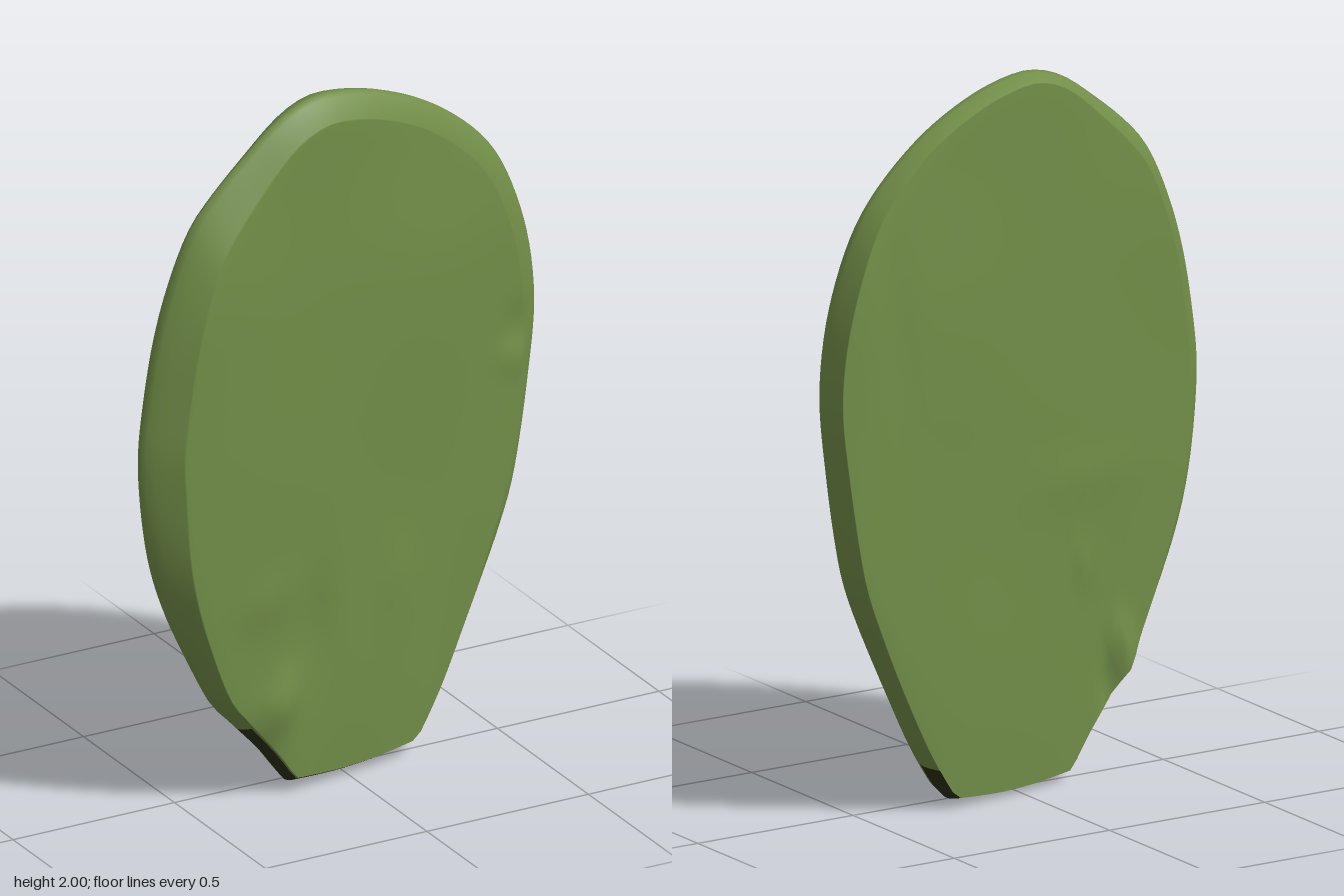
import * as THREE from 'three';

const CENTRE = new THREE.Vector2(0, 1.05);
const { smoothstep, clamp, lerp } = THREE.MathUtils;

// Outline of the pad, counter-clockwise from the right end of the cut base
const OUTLINE = [
  [0.22, 0.015], [0.25, 0.05], [0.32, 0.16], [0.40, 0.31], [0.48, 0.47], [0.56, 0.65], [0.60, 0.80],
  [0.635, 1.0], [0.657, 1.2], [0.64, 1.38], [0.59, 1.55], [0.52, 1.69], [0.42, 1.8], [0.28, 1.9],
  [0.12, 1.97], [-0.02, 2.0], [-0.11, 1.995], [-0.2, 1.96], [-0.3, 1.89], [-0.41, 1.8], [-0.49, 1.71],
  [-0.56, 1.56], [-0.61, 1.4], [-0.645, 1.22], [-0.66, 1.08], [-0.65, 0.92], [-0.62, 0.75],
  [-0.57, 0.6], [-0.5, 0.45], [-0.42, 0.3], [-0.35, 0.22], [-0.25, 0.11], [-0.18, 0.015],
];

// Lumps and dents: x, y, radius x, radius y, height
const FRONT_BUMPS = [
  [-0.24, 0.28, 0.05, 0.07, 0.034], [0.57, 1.17, 0.04, 0.06, -0.012], [0.56, 1.08, 0.04, 0.04, 0.01],
  [-0.12, 0.45, 0.06, 0.14, -0.012], [0.16, 0.55, 0.07, 0.1, 0.008], [-0.28, 0.6, 0.09, 0.07, 0.008],
];
const BACK_BUMPS = [
  [-0.37, 0.32, 0.035, 0.07, 0.035], [-0.31, 0.27, 0.03, 0.05, -0.02], [-0.23, 0.6, 0.04, 0.03, 0.013],
  [0.54, 1.3, 0.05, 0.28, 0.005], [0.44, 1.35, 0.05, 0.25, -0.01], [-0.2, 0.85, 0.22, 0.06, 0.006],
];
const relief = (bumps, x, y) => bumps.reduce(
  (sum, [bx, by, rx, ry, h]) => sum + h * Math.exp(-(((x - bx) / rx) ** 2) - ((y - by) / ry) ** 2), 0);

// Width of the bevelled rim: wide on the front, crisp on the back and near the base
function rimWidth(x, y, isFront) {
  const left = smoothstep(-x, 0, 0.5);
  const side = isFront ? lerp(0.07, 0.105, left) : lerp(0.022, 0.05, left);
  return side * lerp(0.3, 1, smoothstep(y, 0.1, 1));
}

// Half thickness: slightly domed, thinner towards the top
function halfThickness(y, k, isFront) {
  const taper = smoothstep(y, 1.4, 2) * (isFront ? 0.32 : 0.16);
  return (0.07 + 0.009 * (1 - k * k)) * (1 - taper);
}

// Rings run from the front centre, over the rim, to the back centre
function makeRings() {
  const rings = [];
  for (let i = 0; i < 14; i++) rings.push({ k: i / 14, angle: 0, onRim: false });
  for (let i = 0; i <= 12; i++) rings.push({ k: 1, angle: (i / 12) * Math.PI, onRim: true });
  for (let i = 13; i >= 0; i--) rings.push({ k: i / 14, angle: Math.PI, onRim: false });
  return rings;
}

function padPoint(edge, isBase, { k, angle }) {
  const isFront = angle < Math.PI / 2;
  const bulge = Math.sin(angle);
  // The widest line lies forward on the right side and backward on the left
  const skew = isBase ? 0 : clamp(0.6 * edge.x, -0.38, 0.3);
  const t = Math.cos(angle) + skew * bulge * bulge;

  const inward = CENTRE.clone().sub(edge).normalize();
  const rim = isBase ? (isFront ? 0.03 : 0.015) : rimWidth(edge.x, edge.y, isFront);
  const inset = rim * Math.pow(Math.abs(Math.cos(angle)), 1.5);
  const p = edge.clone().addScaledVector(inward, inset).lerp(CENTRE, 1 - k);

  const wave = 0.002 * Math.sin(p.x * 9 + p.y * 4) + 0.002 * Math.sin(p.y * 7 - p.x * 5);
  const lump = relief(isFront ? FRONT_BUMPS : BACK_BUMPS, p.x, p.y) + wave;
  return [p.x, p.y, 0.007 - 0.16 * p.x + t * (halfThickness(p.y, k, isFront) + lump)]; // turned slightly
}

export function createModel() {
  const green = new THREE.MeshStandardMaterial({ color: 0x728e48 });
  green.name = 'cactus green';
  const dark = new THREE.MeshStandardMaterial({ color: 0x2a2f17 });
  dark.name = 'dark cut';

  // Sample the outline, then close it along the base
  const curve = new THREE.SplineCurve(OUTLINE.map(([x, y]) => new THREE.Vector2(x, y)));
  const edges = curve.getSpacedPoints(120);
  const sideCount = edges.length;
  const from = edges[sideCount - 1], to = edges[0];
  for (let i = 1; i < 12; i++) {
    const e = from.clone().lerp(to, i / 12);
    e.y -= 0.013 * Math.sin((i / 12) * Math.PI);
    edges.push(e);
  }

  const rings = makeRings();
  const positions = [];
  for (const ring of rings) {
    edges.forEach((edge, i) => {
      const isBase = i >= sideCount - 1 || i === 0;
      positions.push(...padPoint(edge, isBase, ring));
    });
  }

  // Sort the cells into green skin and the dark cut at the base
  const skin = [], cut = [];
  const n = edges.length;
  for (let j = 0; j < rings.length - 1; j++) {
    const onRim = rings[j].onRim && rings[j + 1].onRim;
    const lean = Math.cos((rings[j].angle + rings[j + 1].angle) / 2);
    for (let i = 0; i < n; i++) {
      const next = (i + 1) % n;
      const a = j * n + i, b = a + n, c = j * n + next, d = c + n;
      const onBase = i >= sideCount - 1;
      const onRightCorner = i < 3 && lean < 0.2; // dark patch wrapping the back right corner
      const onLeftScar = edges[i].x < 0 && edges[i].y < 0.21 && lean > -0.2 && lean < 0.9;
      (onRim && (onBase || onRightCorner || onLeftScar) ? cut : skin).push(a, b, c, c, b, d);
    }
  }

  const group = new THREE.Group();
  group.name = 'cactusPad';
  for (const [name, index, material] of [['padSkin', skin, green], ['cutBase', cut, dark]]) {
    const geometry = new THREE.BufferGeometry();
    geometry.setAttribute('position', new THREE.Float32BufferAttribute(positions, 3));
    geometry.setIndex(index);
    geometry.computeVertexNormals();
    const mesh = new THREE.Mesh(geometry, material);
    mesh.name = name;
    group.add(mesh);
  }
  return group;
}
